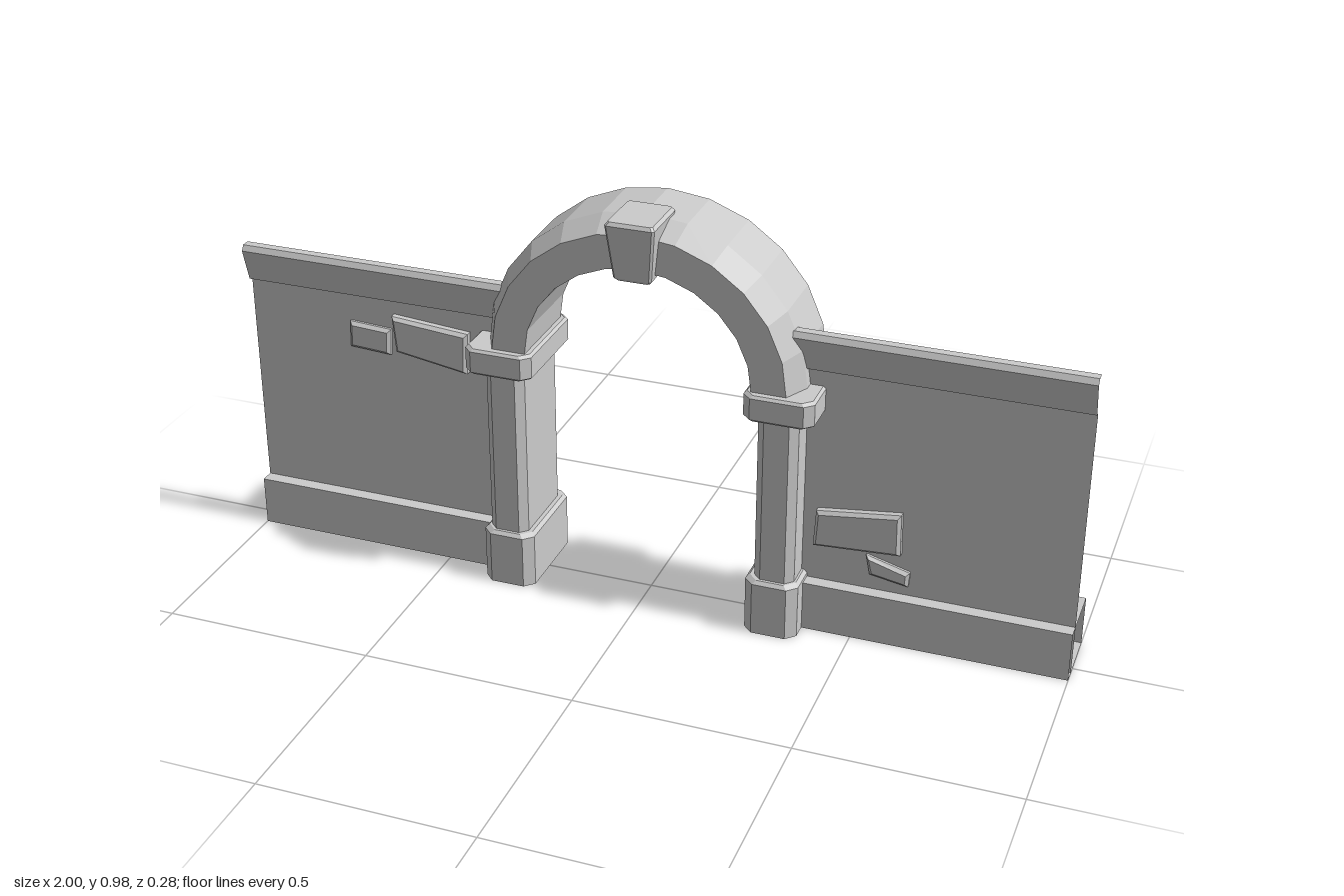
import * as THREE from 'three';

const material = new THREE.MeshStandardMaterial({ color: 0xcccccc, flatShading: true, side: THREE.DoubleSide });

// Skin a list of equal-length cross-sections ([x, y, z] points)
function loft(rings, { closed = true, capStart = false, capEnd = false } = {}) {
  const n = rings[0].length;
  const index = [];
  for (let i = 0; i < rings.length - 1; i++) {
    for (let j = 0; j < (closed ? n : n - 1); j++) {
      const k = (j + 1) % n;
      const a = i * n + j, b = i * n + k, c = (i + 1) * n + k, d = (i + 1) * n + j;
      index.push(a, b, c, a, c, d);
    }
  }
  const last = (rings.length - 1) * n;
  for (let j = 1; j < n - 1; j++) {
    if (capStart) index.push(0, j + 1, j);
    if (capEnd) index.push(last, last + j, last + j + 1);
  }
  const geometry = new THREE.BufferGeometry();
  geometry.setAttribute('position', new THREE.Float32BufferAttribute(rings.flat(2), 3));
  geometry.setIndex(index);
  const flat = geometry.toNonIndexed();
  flat.computeVertexNormals();
  return flat;
}

// Horizontal rectangle with cut corners
function cutRect(x0, x1, z0, z1, y, c) {
  return [
    [x0 + c, y, z1], [x1 - c, y, z1], [x1, y, z1 - c], [x1, y, z0 + c],
    [x1 - c, y, z0], [x0 + c, y, z0], [x0, y, z0 + c], [x0, y, z1 - c],
  ];
}

// Upright block with cut corners and optional bevelled top and bottom edges
function block(x0, x1, z0, z1, y0, y1, c, top = 0, bottom = 0) {
  const ring = (y, inset) => cutRect(x0 + inset, x1 - inset, z0 + inset, z1 - inset, y, c);
  const rings = [];
  if (bottom) rings.push(ring(y0, bottom));
  rings.push(ring(y0 + bottom, 0), ring(y1 - top, 0));
  if (top) rings.push(ring(y1, top));
  return rings;
}

// Sweep a [z, y] profile along x
function sweepX(profile, x0, x1, closed) {
  return loft([x0, x1].map((x) => profile.map(([z, y]) => [x, y, z])), { closed });
}

export function createModel() {
  const model = new THREE.Group();
  const add = (name, geometry, parent = model) => {
    const mesh = new THREE.Mesh(geometry, material);
    mesh.name = name;
    parent.add(mesh);
    return mesh;
  };

  for (const [side, s] of [['left', 1], ['right', -1]]) {
    // Pillar: hollow plinth, shaft and cap
    const pillar = new THREE.Group();
    pillar.name = side + 'Pillar';
    model.add(pillar);
    const span = (inner, outer) => (s > 0 ? [inner, outer] : [-outer, -inner]);
    add('plinth', loft(block(...span(0.26, 0.385), -0.135, 0.11, 0, 0.137, 0.022, 0.008), { capEnd: false }), pillar);
    add('plinthLedge', loft([
      cutRect(...span(0.268, 0.377), -0.127, 0.102, 0.137, 0.022),
      cutRect(...span(0.278, 0.372), -0.117, 0.095, 0.137, 0.018),
    ]), pillar);
    add('shaft', loft(block(...span(0.278, 0.372), -0.117, 0.095, 0.1, 0.56, 0.018)), pillar);
    add('cap', loft(block(...span(0.25, 0.412), -0.137, 0.12, 0.547, 0.61, 0.02, 0.006, 0.006),
      { capStart: true, capEnd: true }), pillar);

    // Wall: thin sheet, hollow footing and outward leaning coping
    const wall = new THREE.Group();
    wall.name = side + 'Wall';
    model.add(wall);
    const [x0, x1] = span(0.33, 1);
    add('panel', sweepX([[0.018, 0.65], [0.018, 0]], x0, x1, false), wall);
    add('footing', sweepX([[0.05, 0.12], [0.05, 0], [-0.11, 0], [-0.11, 0.12]], x0, x1, true), wall);
    add('coping', sweepX([[0.024, 0.745], [0.045, 0.745], [0.053, 0.732], [0.03, 0.652], [0.018, 0.648]],
      x0, x1, false), wall);
  }

  // Arch: section [radius offset from inner edge, z], chamfered at the outer front
  const section = [[0, 0.1], [0.08, 0.1], [0.11, 0.04], [0.112, -0.105], [0.104, -0.112], [0, -0.112]];
  const steps = 12;
  const archRings = [];
  for (let i = 0; i <= steps; i++) {
    const a = (i / steps) * Math.PI;
    archRings.push(section.map(([r, z]) =>
      [(0.267 + r) * Math.cos(a), 0.605 + (0.253 + r) * Math.sin(a), z]));
  }
  add('arch', loft(archRings, { capStart: true, capEnd: true }));

  // Keystone widening upwards and forwards
  add('keystone', loft([
    cutRect(-0.038, 0.038, 0.085, 0.117, 0.835, 0.005),
    cutRect(-0.044, 0.044, 0.08, 0.123, 0.842, 0.005),
    cutRect(-0.057, 0.057, 0, 0.14, 0.968, 0.005),
    cutRect(-0.051, 0.051, 0.006, 0.134, 0.976, 0.005),
  ], { capStart: true, capEnd: true }));

  // Raised stones set through the wall sheet: corners and front depth
  const stones = [
    [[[-0.63, 0.615], [-0.437, 0.6], [-0.442, 0.497], [-0.622, 0.525]], 0.04],
    [[[-0.743, 0.582], [-0.637, 0.576], [-0.641, 0.51], [-0.745, 0.516]], 0.032],
    [[[0.405, 0.305], [0.6, 0.33], [0.602, 0.226], [0.4, 0.214]], 0.04],
    [[[0.522, 0.21], [0.625, 0.182], [0.622, 0.145], [0.532, 0.16]], 0.032],
  ];
  const bevel = 0.008;
  for (const [corners, depth] of stones) {
    const shape = new THREE.Shape(corners.map(([x, y]) => new THREE.Vector2(x, y)));
    const geometry = new THREE.ExtrudeGeometry(shape, {
      depth: depth - 2 * bevel, bevelEnabled: true, bevelSegments: 1,
      bevelThickness: bevel, bevelSize: bevel, bevelOffset: -bevel,
    });
    add('wallStone', geometry.translate(0, 0, bevel));
  }

  return model;
}
